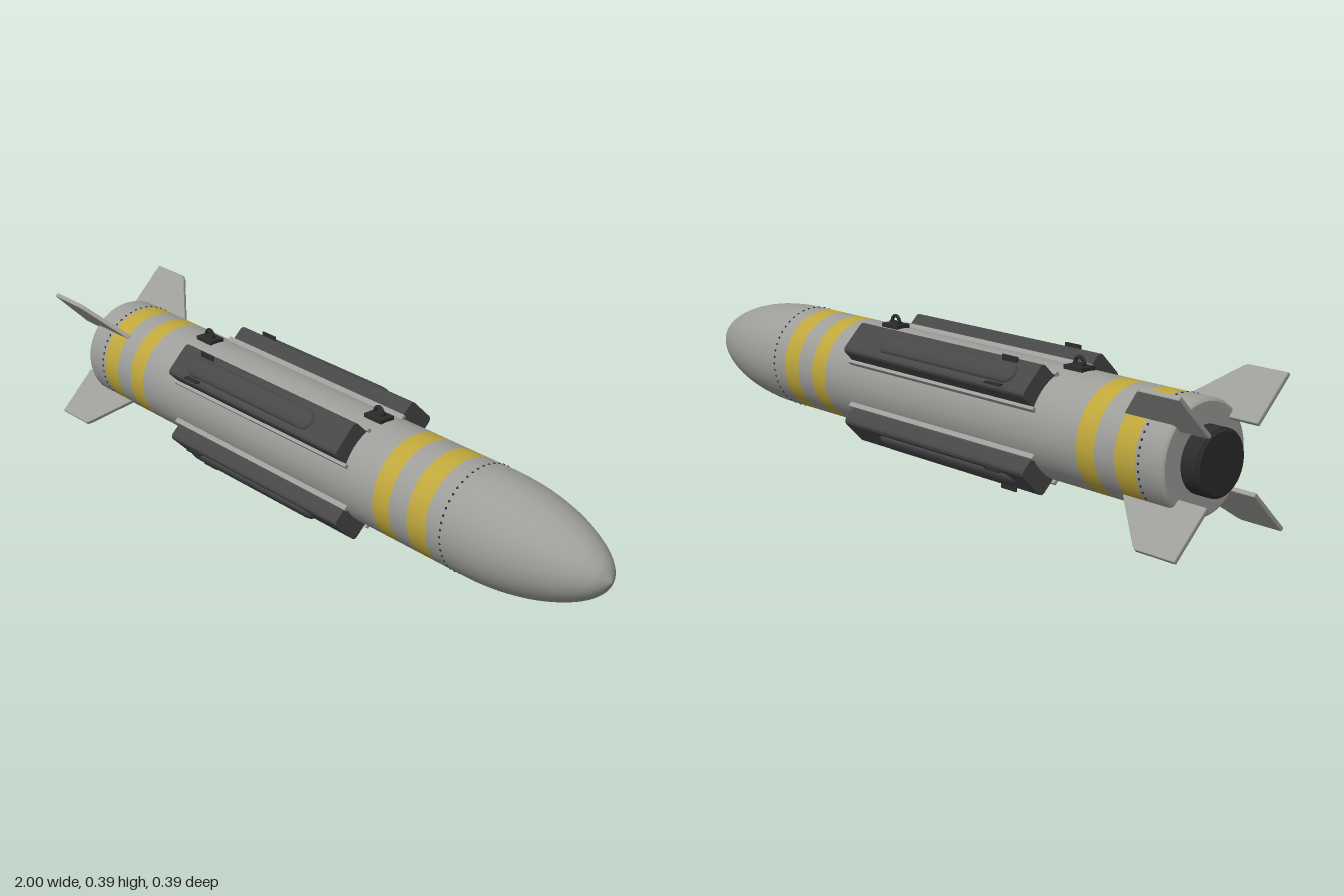
import * as THREE from 'three';
import { mergeGeometries } from 'three/addons/utils/BufferGeometryUtils.js';

const mat = (name, color) => new THREE.MeshStandardMaterial({ name, color });
const R = 0.145, AXIS = 0.197;

export function createModel() {
  const grey = mat('bodyGrey', 0x9d9d9a);
  const yellow = mat('bandYellow', 0xbfa73c);
  const dark = mat('podDark', 0x474747);
  const black = mat('fittingBlack', 0x2c2c2c);

  const model = new THREE.Group();
  model.name = 'bomb';
  const hull = new THREE.Group();
  hull.name = 'hull';
  hull.position.y = AXIS;
  model.add(hull);

  const add = (parent, name, geo, material, x = 0, y = 0, z = 0) => {
    const m = new THREE.Mesh(geo, material);
    m.name = name;
    m.position.set(x, y, z);
    parent.add(m);
    return m;
  };
  // Surface of revolution about x from [x, radius] pairs
  const turned = (pts) =>
    new THREE.LatheGeometry(pts.map(([x, r]) => new THREE.Vector2(r, x)), 64).rotateZ(-Math.PI / 2);
  // Closed (z, radial) outline extruded along x
  const bar = (pts, x0, x1) => {
    const s = new THREE.Shape(pts.map(([a, b]) => new THREE.Vector2(a, b)));
    return new THREE.ExtrudeGeometry(s, { depth: x1 - x0, bevelEnabled: false })
      .rotateY(Math.PI / 2).translate(x0, 0, 0);
  };

  // Casing, cut into plain and painted sections
  const cuts = [-0.905, -0.83, -0.765, -0.70, -0.64, 0.34, 0.40, 0.465, 0.53, 0.6];
  for (let i = 0; i < cuts.length - 1; i++) {
    const painted = i % 2 === 1;
    add(hull, painted ? 'paintedBand' : 'casing', turned([[cuts[i], R], [cuts[i + 1], R]]),
      painted ? yellow : grey);
  }

  // Rounded nose
  const nose = new THREE.SplineCurve([
    [0.6, R], [0.66, 0.1435], [0.74, 0.135], [0.82, 0.118], [0.89, 0.094],
    [0.94, 0.069], [0.975, 0.042], [0.992, 0.018], [1, 0],
  ].map(([x, r]) => new THREE.Vector2(x, r)));
  add(hull, 'nose', turned(nose.getPoints(40).map((p) => [p.x, Math.max(p.y, 0)])), grey);

  // Tail: rim, end face and dark plug
  add(hull, 'tailRim', turned([[-0.915, 0.137], [-0.912, 0.142], [-0.905, R]]), grey);
  add(hull, 'tailFace', turned([[-0.915, 0], [-0.915, 0.137]]), grey);
  add(hull, 'tailPlug', new THREE.CylinderGeometry(0.084, 0.084, 0.046, 48).rotateZ(-Math.PI / 2),
    black, -0.938);
  add(hull, 'plugCap', new THREE.CylinderGeometry(0.084, 0.076, 0.006, 48).rotateZ(-Math.PI / 2),
    black, -0.963);

  // Rivet rings
  for (const x of [-0.84, 0.58]) {
    const rivets = [];
    for (let i = 0; i < 48; i++) {
      rivets.push(new THREE.SphereGeometry(0.0035, 8, 6).scale(1, 0.6, 1)
        .translate(x, R, 0).rotateX((i / 48) * Math.PI * 2));
    }
    add(hull, 'rivetRing', mergeGeometries(rivets), black);
  }

  // Suspension lugs on top
  for (const x of [-0.505, 0.205]) {
    const lug = new THREE.Group();
    lug.name = 'suspensionLug';
    lug.position.set(x, R, 0);
    add(lug, 'lugBase', new THREE.BoxGeometry(0.064, 0.011, 0.046), black, 0, 0.004);
    add(lug, 'lugFoot', new THREE.BoxGeometry(0.036, 0.008, 0.014), black, 0, 0.012);
    add(lug, 'lugRing', new THREE.TorusGeometry(0.015, 0.005, 10, 24), black, 0, 0.0155);
    hull.add(lug);
  }

  // Fin outline in (x, radius)
  const finShape = new THREE.Shape([
    [-1, 0.118], [-0.914, 0.118], [-0.914, 0.135], [-0.76, 0.135], [-0.76, 0.147],
    [-0.87, 0.262], [-0.88, 0.268], [-1, 0.268],
  ].map(([x, r]) => new THREE.Vector2(x, r)));
  const finGeo = new THREE.ExtrudeGeometry(finShape, {
    depth: 0.006, bevelThickness: 0.003, bevelSize: 0.002, bevelOffset: -0.002, bevelSegments: 2,
  }).translate(0, 0, -0.003);

  const podGeo = bar([
    [-0.05, 0.13], [0.05, 0.13], [0.05, 0.18], [0.047, 0.187], [0.04, 0.191],
    [-0.04, 0.191], [-0.047, 0.187], [-0.05, 0.18],
  ], -0.48, 0.225);
  const bulgeGeo = new THREE.CapsuleGeometry(0.029, 0.46, 8, 20).rotateZ(Math.PI / 2).scale(1, 0.42, 1);

  // Four diagonal sets of fin, pod, rails and tabs
  for (let i = 0; i < 4; i++) {
    const arm = new THREE.Group();
    arm.name = 'quarter';
    arm.rotation.x = Math.PI / 4 + (i * Math.PI) / 2;
    hull.add(arm);
    add(arm, 'tailFin', finGeo, grey);
    add(arm, 'sidePod', podGeo, dark);
    add(arm, 'podBulge', bulgeGeo, dark, -0.16, 0.191);
    for (const s of [-1, 1]) {
      add(arm, 'podRail', new THREE.BoxGeometry(0.725, 0.014, 0.009), grey, -0.1275, 0.139, s * 0.0545);
      const tab = add(arm, 'podTab', new THREE.BoxGeometry(0.055, 0.046, 0.004), black,
        -0.373, 0.184, s * 0.028);
      tab.rotation.x = (s * Math.PI) / 4;
    }
  }
  return model;
}
